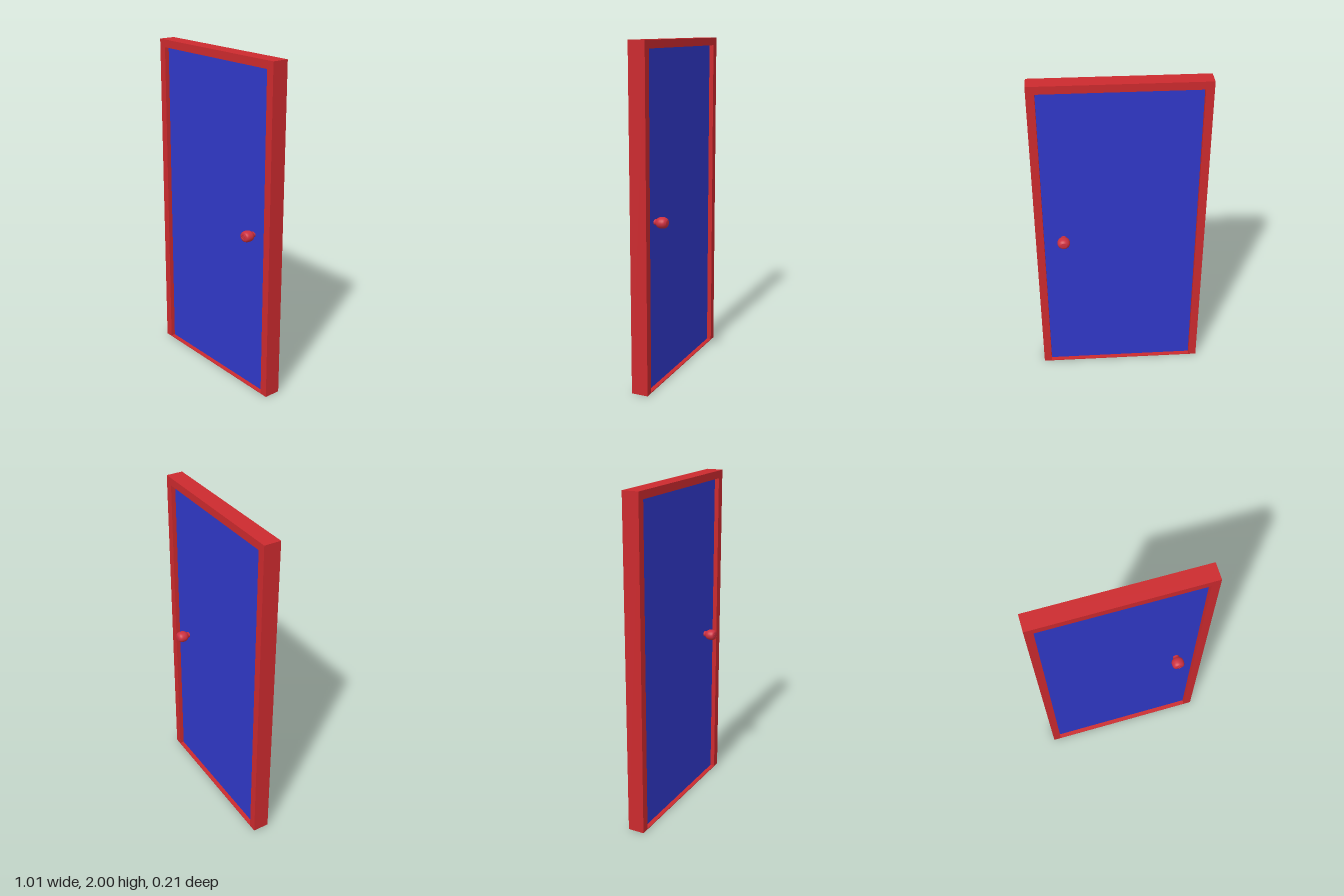
import * as THREE from 'three';

const W = 0.505, H = 2, D = 0.1;          // frame half width, height, depth
const IW = 0.457, IH = 1.954;             // opening half width, top of opening
const SILL = 0.004;

const red = new THREE.MeshStandardMaterial({ color: 0xcc2a2e });
const blue = new THREE.MeshStandardMaterial({ color: 0x3038c8 });
const knobRed = new THREE.MeshStandardMaterial({ color: 0xcc3040 });

function add(parent, name, geometry, material) {
  const mesh = new THREE.Mesh(geometry, material);
  mesh.name = name;
  parent.add(mesh);
  return mesh;
}

// Rounded, slightly flattened knob on a short stem, pointing along +z
function makeKnob(name, tip) {
  const knob = new THREE.Group();
  knob.name = name;
  const profile = new THREE.SplineCurve([
    [0.018, 0.015], [0.02, 0.034], [0.031, 0.046], [0.0365, 0.058], [0.0375, 0.07],
    [0.036, 0.084], [0.03, 0.095], [0.019, tip - 0.001],
  ].map(([r, z]) => new THREE.Vector2(r, z))).getPoints(24);
  profile.push(new THREE.Vector2(0, tip));
  const body = add(knob, name + 'Body', new THREE.LatheGeometry(profile, 32), knobRed);
  body.rotation.x = Math.PI / 2;
  body.scale.z = 0.87;
  return knob;
}

export function createModel() {
  const model = new THREE.Group();
  model.name = 'door';

  // Frame: jambs, head and a thin sill around the opening
  const outline = new THREE.Shape([
    [-W, 0], [W, 0], [W, H], [-W, H],
  ].map(([x, y]) => new THREE.Vector2(x, y)));
  outline.holes.push(new THREE.Path([
    [-IW, SILL], [-IW, IH], [IW, IH], [IW, SILL],
  ].map(([x, y]) => new THREE.Vector2(x, y))));
  const frameGeometry = new THREE.ExtrudeGeometry(outline, { depth: D, bevelEnabled: false });
  frameGeometry.translate(0, 0, -D / 2);
  add(model, 'frame', frameGeometry, red);

  // Door leaf, recessed on both sides
  const leaf = add(model, 'leaf', new THREE.BoxGeometry(IW * 2, IH - SILL, 0.046), blue);
  leaf.position.y = (IH + SILL) / 2;

  // Knobs on both faces
  const front = makeKnob('frontKnob', 0.1);
  const back = makeKnob('backKnob', 0.104);
  back.rotation.y = Math.PI;
  for (const knob of [front, back]) {
    knob.position.set(0.34, 0.988, 0);
    model.add(knob);
  }

  // Lock face on the front knob
  const ring = add(front, 'lockRing', new THREE.TorusGeometry(0.016, 0.002, 8, 28), knobRed);
  ring.scale.y = 0.87;
  ring.position.z = 0.0985;
  const slot = add(front, 'lockSlot', new THREE.BoxGeometry(0.014, 0.004, 0.003), knobRed);
  slot.position.z = 0.0995;

  return model;
}
